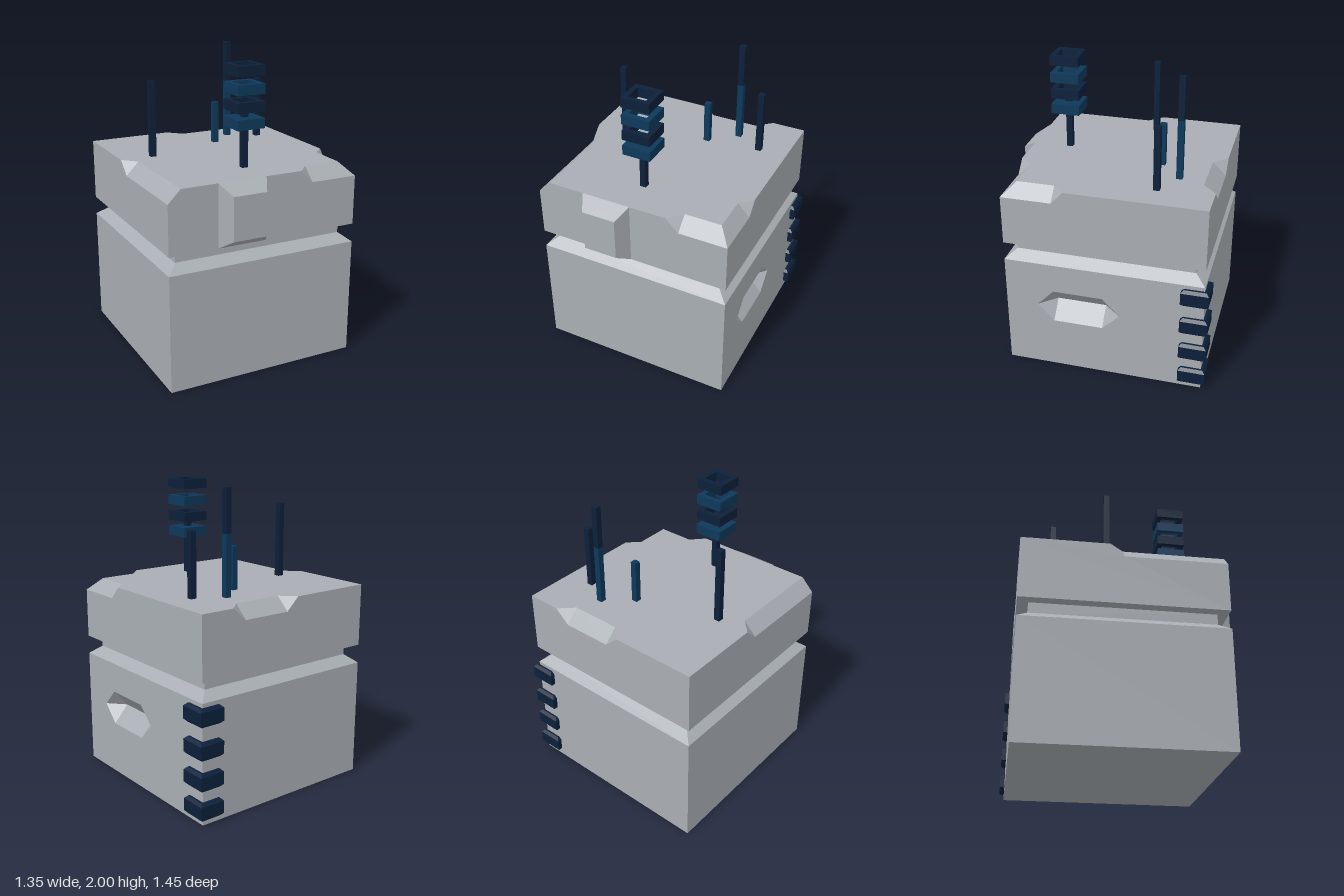
import * as THREE from 'three';

const mat = (name, color) => Object.assign(new THREE.MeshStandardMaterial({ color }), { name });

// Block limits: left/right x, back/front z, and the main heights
const L = -0.68, R = 0.64, B = -0.695, F = 0.625;
const BASE = 0.785, NECK = 0.84, Y0 = 0.91, N = 1.24, T = 1.325;

// Flat-faced solid: each face is [outline, outward direction, hole]
function solid(faces) {
  const pos = [];
  for (const [pts, dir, hole] of faces) {
    const d = new THREE.Vector3(...dir);
    const axis = [0, 1, 2].find(i => dir[i] !== 0);
    const [u, v] = [0, 1, 2].filter(i => i !== axis);
    const flat = a => a.map(p => new THREE.Vector2(p[u], p[v]));
    const all = [...pts, ...(hole || [])].map(p => new THREE.Vector3(...p));
    for (const t of THREE.ShapeUtils.triangulateShape(flat(pts), hole ? [flat(hole)] : [])) {
      const [a, b, c] = t.map(i => all[i]);
      const n = b.clone().sub(a).cross(c.clone().sub(a));
      for (const p of n.dot(d) < 0 ? [a, c, b] : [a, b, c]) pos.push(p.x, p.y, p.z);
    }
  }
  const g = new THREE.BufferGeometry();
  g.setAttribute('position', new THREE.Float32BufferAttribute(pos, 3));
  g.computeVertexNormals();
  return g;
}

const UP = [0, 1, 0], DOWN = [0, -1, 0];
const SIDES = [[0, 0, 1], [1, 0, 0], [0, 0, -1], [-1, 0, 0]];
const corners = i => [[L + i, F - i], [R - i, F - i], [R - i, B + i], [L + i, B + i]];
const level = (list, y) => list.map(([x, z]) => [x, y, z]);

// Lower block with sloped shoulder and a wedge recess in its +x face
function baseGeometry() {
  const low = level(corners(0), 0), top = level(corners(0), BASE), inner = level(corners(0.07), NECK);
  const hex = [[0.47, 0.41], [0.585, 0.3], [0.585, -0.03], [0.47, -0.145], [0.355, -0.03], [0.355, 0.3]]
    .map(([y, z]) => [R, y, z]);
  const deep = [[R - 0.1, 0.47, 0.3], [R - 0.1, 0.47, -0.03]];
  const faces = [[low, DOWN], [inner, UP]];
  SIDES.forEach((dir, i) => {
    const j = (i + 1) % 4;
    faces.push([[low[i], low[j], top[j], top[i]], dir, i === 1 ? hex : undefined]);
    faces.push([[top[i], top[j], inner[j], inner[i]], UP]);
  });
  const [a, b, c, d, e, f] = hex, X = [1, 0, 0];
  faces.push([[b, c, deep[1], deep[0]], X], [[e, f, deep[0], deep[1]], X],
    [[a, b, deep[0]], X], [[a, f, deep[0]], X], [[d, c, deep[1]], X], [[d, e, deep[1]], X]);
  return solid(faces);
}

// Upper block with chipped top edges
function capGeometry() {
  const top = [[L, B], [-0.11, B], [-0.02, -0.605], [0.315, -0.605], [0.41, B], [R, B], [R, 0.21], [0.56, 0.29],
    [0.56, 0.535], [0.315, 0.535], [0.23, F], [-0.595, F], [-0.595, -0.04], [L, -0.13]];
  const zFace = (z, list) => list.map(([x, y]) => [x, y, z]);
  const xFace = (x, list) => list.map(([z, y]) => [x, y, z]);
  const t = level(top, T);
  const p = (x, z) => [x, N, z];
  return solid([
    [t, UP], [level(corners(0), Y0), DOWN],
    [zFace(F, [[L, Y0], [R, Y0], [R, N], [0.315, N], [0.23, T], [-0.595, T], [L, N]]), SIDES[0]],
    [xFace(R, [[F, Y0], [B, Y0], [B, T], [0.21, T], [0.29, N], [F, N]]), SIDES[1]],
    [zFace(B, [[R, Y0], [L, Y0], [L, T], [-0.11, T], [-0.02, N], [0.315, N], [0.41, T], [R, T]]), SIDES[2]],
    [xFace(L, [[B, Y0], [F, Y0], [F, N], [-0.04, N], [-0.13, T], [B, T]]), SIDES[3]],
    // back chip
    [[t[1], t[2], p(-0.02, B)], UP], [[t[2], t[3], p(0.315, B), p(-0.02, B)], UP], [[t[3], t[4], p(0.315, B)], UP],
    // front corner chip
    [[t[6], t[7], p(R, 0.29)], UP], [[t[7], t[8], p(R, F), p(R, 0.29)], UP],
    [[t[8], t[9], p(0.315, F), p(R, F)], UP], [[t[9], t[10], p(0.315, F)], UP],
    // side chip
    [[t[11], t[12], p(L, -0.04), p(L, F)], UP], [[t[12], t[13], p(L, -0.04)], UP],
  ]);
}

// Box whose front face is narrowed into a frustum
function bossGeometry() {
  const g = new THREE.BoxGeometry(0.33, Y0 - T, 0.1).scale(1, 1, 1);
  return taper(new THREE.BoxGeometry(0.33, T - Y0, 0.1), 0.685, 0.687);
}

function taper(g, sx, sy) {
  const p = g.attributes.position;
  for (let i = 0; i < p.count; i++)
    if (p.getZ(i) > 0) p.setXY(i, p.getX(i) * sx, p.getY(i) * sy);
  g.computeVertexNormals();
  return g;
}

// L-shaped clip with bevelled edges, wrapped round the back corner
function clipGeometry() {
  const b = 0.018, xo = 0.673 - b, zo = 0.725 - b;
  const shape = new THREE.Shape([[0.5 + b, zo], [0.5 + b, 0.66], [0.6, 0.66], [0.6, 0.545 + b], [xo, 0.545 + b], [xo, zo]]
    .map(q => new THREE.Vector2(...q)));
  const depth = 0.118 - 2 * b;
  return new THREE.ExtrudeGeometry(shape, { depth, bevelEnabled: true, bevelSize: b, bevelThickness: b, bevelSegments: 1 })
    .translate(0, 0, -depth / 2).rotateX(-Math.PI / 2);
}

// Hollow square collar
function collarGeometry() {
  const square = (C, h) => new C([[-h, -h], [h, -h], [h, h], [-h, h]].map(q => new THREE.Vector2(...q)));
  const s = square(THREE.Shape, 0.095);
  s.holes.push(square(THREE.Path, 0.06));
  return new THREE.ExtrudeGeometry(s, { depth: 0.065, bevelEnabled: false })
    .translate(0, 0, -0.0325).rotateX(-Math.PI / 2);
}

export function createModel() {
  const stone = mat('stone grey', 0xa9aeb4);
  const navy = mat('dark navy', 0x0c203a);
  const blue = mat('deep blue', 0x0d395b);
  const model = new THREE.Group();
  model.name = 'block';
  const add = (name, g, m, x = 0, y = 0, z = 0) => {
    const mesh = new THREE.Mesh(g, m);
    mesh.name = name;
    mesh.position.set(x, y, z);
    model.add(mesh);
  };
  const rod = (name, x, z, y0, y1, m) =>
    add(name, new THREE.BoxGeometry(0.04, y1 - y0, 0.04), m, x, (y0 + y1) / 2, z);

  // Stone body
  add('base', baseGeometry(), stone);
  add('neck', new THREE.BoxGeometry(1.18, Y0 - NECK + 0.02, 1.18), stone, -0.02, (Y0 + NECK) / 2, -0.035);
  add('cap', capGeometry(), stone);
  add('frontBoss', bossGeometry(), stone, -0.185, (Y0 + T) / 2, F + 0.05);

  // Corner clips
  for (const y of [0.095, 0.288, 0.488, 0.7]) add('cornerClip', clipGeometry(), navy, 0, y, 0);

  // Thin rods on the roof
  rod('rod', -0.457, -0.13, 1.3, 1.825, navy);
  rod('rod', 0.085, -0.293, 1.3, 1.61, blue);
  rod('rod', 0.445, -0.335, 1.3, 1.745, navy);
  rod('tallRodLower', 0.257, -0.44, 1.3, 1.72, blue);
  rod('tallRodUpper', 0.257, -0.44, 1.72, 2, navy);

  // Mast with a solid foot collar and hollow floating collars
  rod('mast', -0.045, 0.377, 1.3, 1.7, navy);
  add('footCollar', new THREE.BoxGeometry(0.19, 0.065, 0.19), blue, -0.045, 1.618, 0.377);
  [1.723, 1.833, 1.948].forEach((y, i) =>
    add('collar', collarGeometry(), i === 1 ? blue : navy, -0.045, y, 0.377));
  return model;
}
